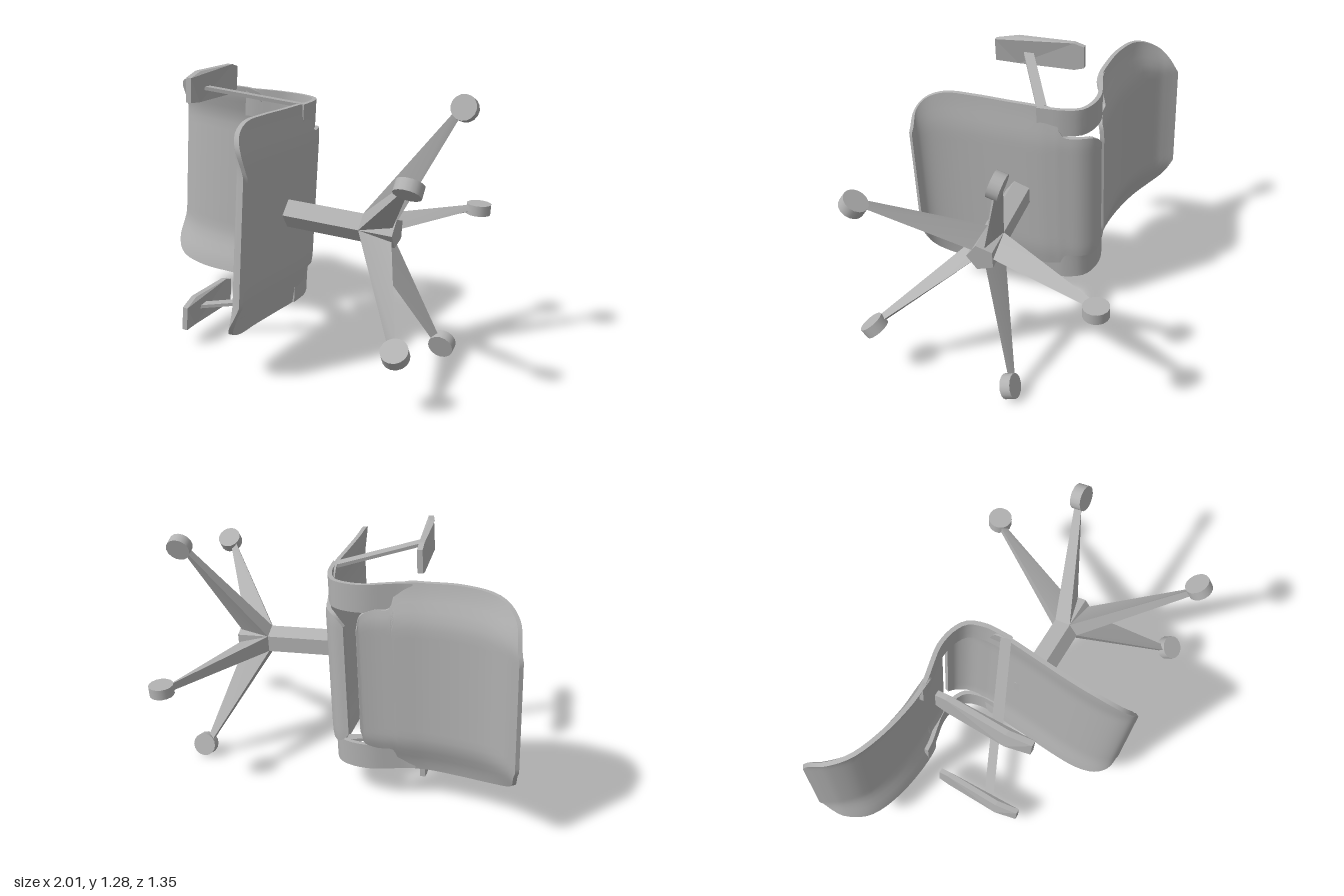
import * as THREE from 'three';
import { toCreasedNormals } from 'three/addons/utils/BufferGeometryUtils.js';

const grey = new THREE.MeshStandardMaterial({ color: 0xb2b2b2 });
grey.name = 'plain grey';

function addMesh(parent, name, geometry) {
  const mesh = new THREE.Mesh(geometry, grey);
  mesh.name = name;
  parent.add(mesh);
  return mesh;
}

// Closed solid through rings of [x, y, z] points; turned outward by its signed volume
function loft(rings, crease = 0.6) {
  const n = rings[0].length, tris = [];
  for (let k = 0; k < rings.length - 1; k++) {
    for (let i = 0; i < n; i++) {
      const j = (i + 1) % n, p = rings[k], q = rings[k + 1];
      tris.push([p[i], p[j], q[j]], [p[i], q[j], q[i]]);
    }
  }
  // end caps, zipped across so that long thin ends stay tidy
  const first = rings[0], last = rings[rings.length - 1];
  for (let lo = 0, hi = n - 1; lo < hi - 1; lo++, hi--) {
    tris.push([first[lo], first[hi], first[lo + 1]], [last[lo], last[lo + 1], last[hi]]);
    if (hi - 1 > lo + 1) {
      tris.push([first[lo + 1], first[hi], first[hi - 1]], [last[lo + 1], last[hi - 1], last[hi]]);
    }
  }
  let volume = 0;
  for (const [a, b, c] of tris) {
    volume += new THREE.Vector3(...a).dot(new THREE.Vector3(...b).cross(new THREE.Vector3(...c)));
  }
  if (volume < 0) tris.forEach((t) => t.reverse());
  const geometry = new THREE.BufferGeometry();
  geometry.setAttribute('position', new THREE.Float32BufferAttribute(tris.flat(2), 3));
  return toCreasedNormals(geometry, crease);
}

// Curved sheet along rows of [z, y, halfWidth]; its sides rise by lift towards the rim
function panel(rows, { lift = 0, inner = null, side = 1, steps = 44, cols = 24, thickness = 0.02 }) {
  const curve = new THREE.CatmullRomCurve3(rows.map(([z, y, w]) => new THREE.Vector3(w, y, z)));
  const rings = [];
  for (let k = 0; k <= steps; k++) {
    const p = curve.getPoint(k / steps), t = curve.getTangent(k / steps);
    const len = Math.hypot(t.y, t.z) || 1;
    const ny = t.z / len, nz = -t.y / len;
    const front = [], back = [];
    for (let i = 0; i <= cols; i++) {
      const x = THREE.MathUtils.lerp(inner ?? -p.x, p.x, i / cols);
      const h = lift * THREE.MathUtils.smoothstep(Math.abs(x), 0.28, 0.5);
      front.push([side * x, p.y + ny * h, p.z + nz * h]);
      back.unshift([side * x, p.y + ny * (h - thickness), p.z + nz * (h - thickness)]);
    }
    rings.push([...front, ...back]);
  }
  return loft(rings);
}

// Armrest pad: octagonal plate whose front end dips
function armPad() {
  const half = [[0.055, -0.21], [0.07, -0.16], [0.07, 0.12], [0.055, 0.23]];
  const outline = [...half, ...half.map(([x, z]) => [-x, z]).reverse()];
  const shape = new THREE.Shape(outline.map(([x, z]) => new THREE.Vector2(x, -z)));
  const geometry = new THREE.ExtrudeGeometry(shape, { depth: 0.025, bevelEnabled: false });
  geometry.rotateX(-Math.PI / 2);
  const pos = geometry.attributes.position;
  for (let i = 0; i < pos.count; i++) {
    if (pos.getZ(i) > 0.13) pos.setY(i, pos.getY(i) - 0.022);
  }
  geometry.computeVertexNormals();
  return geometry;
}

export function createModel() {
  const model = new THREE.Group();
  model.name = 'overturnedOfficeChair';
  const chair = new THREE.Group();
  chair.name = 'chair';
  model.add(chair);

  // Seat, from the raised rear lip to the drooping front edge
  addMesh(chair, 'seat', panel([
    [-0.361, 0.834, 0.28], [-0.346, 0.786, 0.33], [-0.298, 0.752, 0.338], [-0.22, 0.737, 0.345],
    [-0.17, 0.732, 0.47], [-0.115, 0.73, 0.48], [0.042, 0.74, 0.48], [0.222, 0.753, 0.48],
    [0.36, 0.754, 0.475], [0.45, 0.742, 0.44], [0.5, 0.718, 0.38], [0.522, 0.676, 0.28],
  ], { lift: 0.022 }));

  // Backrest, from the swept top edge down to the lower lip
  addMesh(chair, 'backrest', panel([
    [-0.575, 1.635, 0.27], [-0.53, 1.608, 0.36], [-0.482, 1.572, 0.42], [-0.415, 1.49, 0.472],
    [-0.368, 1.353, 0.487], [-0.345, 1.2, 0.483], [-0.343, 1.1, 0.48], [-0.343, 1.06, 0.46],
    [-0.343, 1.03, 0.365], [-0.345, 0.96, 0.36], [-0.352, 0.9, 0.33], [-0.358, 0.88, 0.26],
  ], { lift: 0.055 }));

  for (const side of [1, -1]) {
    const name = side > 0 ? 'left' : 'right';

    // Strap bending from the backrest to the seat
    addMesh(chair, name + 'Strap', panel([
      [-0.292, 1.13, 0.48], [-0.298, 1.08, 0.48], [-0.318, 1.0, 0.48], [-0.334, 0.922, 0.478],
      [-0.325, 0.839, 0.478], [-0.292, 0.777, 0.478], [-0.218, 0.748, 0.48], [-0.16, 0.744, 0.48],
      [-0.1, 0.743, 0.48],
    ], { inner: 0.345, side, steps: 24, cols: 3 }));

    // Armrest with its slanted flat bar
    const pad = addMesh(chair, name + 'ArmPad', armPad());
    pad.position.set(side * 0.54, 1.135, 0);
    const barEnd = (x, y, z) => [[-1, -1], [1, -1], [1, 1], [-1, 1]].map(
      ([i, j]) => [side * (x + i * 0.008), y - j * 0.01, z + j * 0.021]);
    addMesh(chair, name + 'ArmBar', loft([barEnd(0.472, 0.745, -0.12), barEnd(0.53, 1.14, 0.07)]));
  }

  // Five-sided column
  const pentagon = (y) => Array.from({ length: 5 }, (_, i) => {
    const a = (i * Math.PI * 2) / 5;
    return [0.068 * Math.sin(a), y, 0.068 * Math.cos(a)];
  });
  addMesh(chair, 'column', loft([pentagon(0.195), pentagon(0.735)]));

  // Five tapered legs, flat above and ridged below, each with a wheel
  for (let i = 0; i < 5; i++) {
    const leg = new THREE.Group();
    leg.name = 'leg' + (i + 1);
    leg.rotation.y = ((i + 0.5) * Math.PI * 2) / 5;
    chair.add(leg);
    addMesh(leg, 'legArm', loft([
      [[-0.04, 0.355, 0.05], [0.04, 0.355, 0.05], [0, 0.205, 0.05]],
      [[-0.018, 0.04, 0.55], [0.018, 0.04, 0.55], [0, 0.008, 0.55]],
    ], 0.3));
    const wheel = new THREE.CylinderGeometry(0.058, 0.058, 0.05, 16);
    wheel.rotateZ(Math.PI / 2);
    addMesh(leg, 'wheel', wheel).position.z = 0.575;
  }

  // The chair lies on its side
  const forward = new THREE.Vector3(0.402, 0, 0.916).normalize();
  const up = new THREE.Vector3().crossVectors(forward, new THREE.Vector3(0.055, 0.998, -0.018)).normalize();
  const left = new THREE.Vector3().crossVectors(up, forward);
  chair.quaternion.setFromRotationMatrix(new THREE.Matrix4().makeBasis(left, up, forward));
  chair.position.set(0.73, 0.606, -0.09);
  return model;
}
